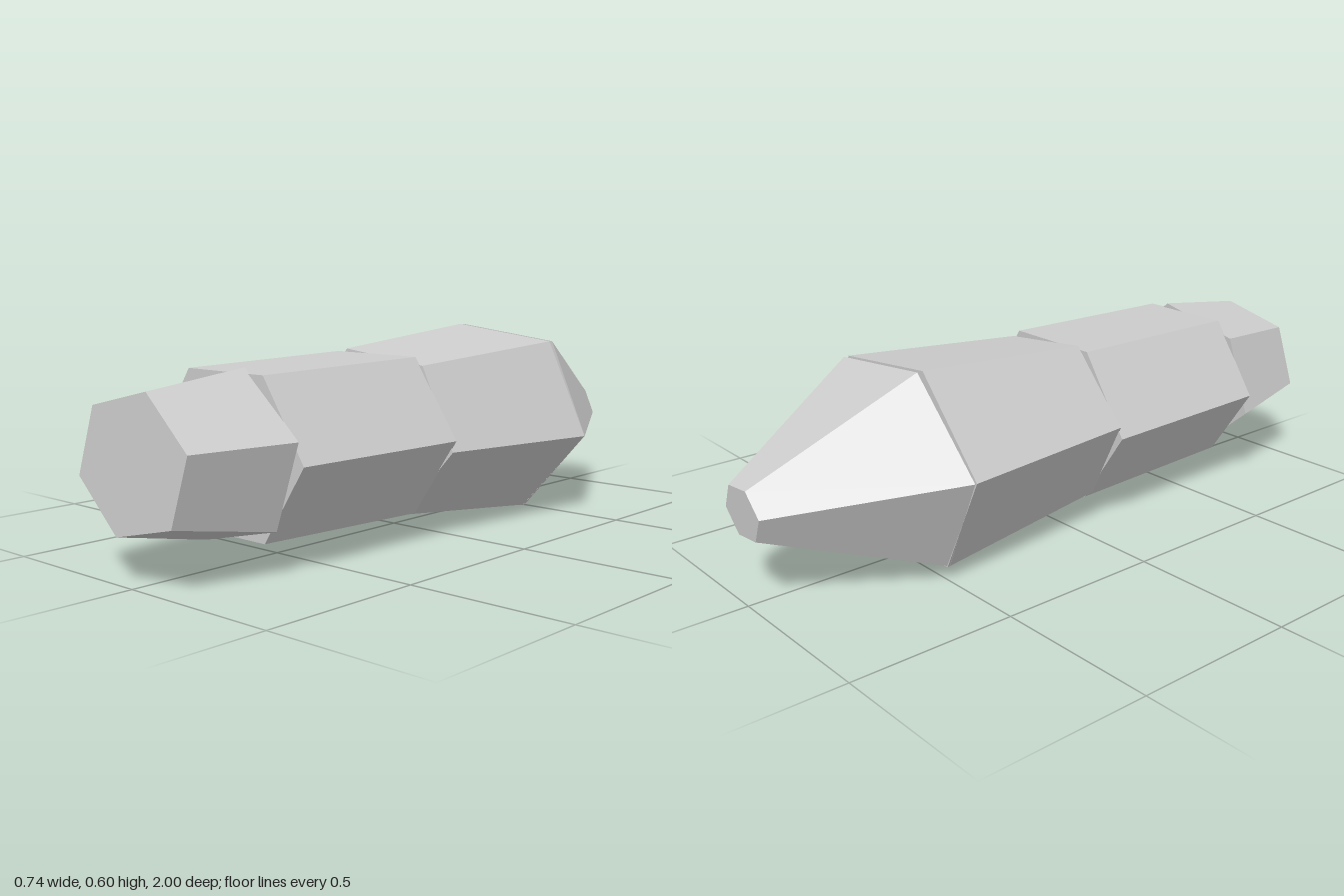
import * as THREE from 'three';

// Slightly flattened six-sided segments chained along z:
// name, turn in degrees, then [radius, height, z] of the front and back ends
const SEGMENTS = [
  ['frontCap', 15.1, [0.23, 0.319, 0.992], [0.292, 0.306, 0.684]],
  ['middleSection', 0, [0.3, 0.309, 0.681], [0.315, 0.306, 0.083]],
  ['rearSection', -7.4, [0.308, 0.306, 0.087], [0.375, 0.3, -0.505]],
  ['taperedNose', -7.4, [0.375, 0.3, -0.509], [0.094, 0.273, -0.995]],
];
const FLATTEN = 0.86;

function makeSegment(name, turn, [frontR, frontY, frontZ], [backR, backY, backZ], material) {
  const dy = frontY - backY;
  const dz = frontZ - backZ;
  const start = THREE.MathUtils.degToRad(turn + 90);
  const geometry = new THREE.CylinderGeometry(frontR, backR, Math.hypot(dy, dz), 6, 1, false, start);
  geometry.rotateX(Math.PI / 2);
  geometry.scale(1, FLATTEN, 1);
  // Tilt the axis to join both end centres
  geometry.rotateX(-Math.atan2(dy, dz));
  geometry.translate(0, (frontY + backY) / 2, (frontZ + backZ) / 2);
  const flat = geometry.toNonIndexed();
  flat.computeVertexNormals();
  const mesh = new THREE.Mesh(flat, material);
  mesh.name = name;
  return mesh;
}

export function createModel() {
  const group = new THREE.Group();
  group.name = 'segmentedHexBody';
  const grey = new THREE.MeshStandardMaterial({ color: 0xcccccc });
  grey.name = 'light grey';
  for (const [name, turn, front, back] of SEGMENTS) {
    group.add(makeSegment(name, turn, front, back, grey));
  }
  return group;
}
